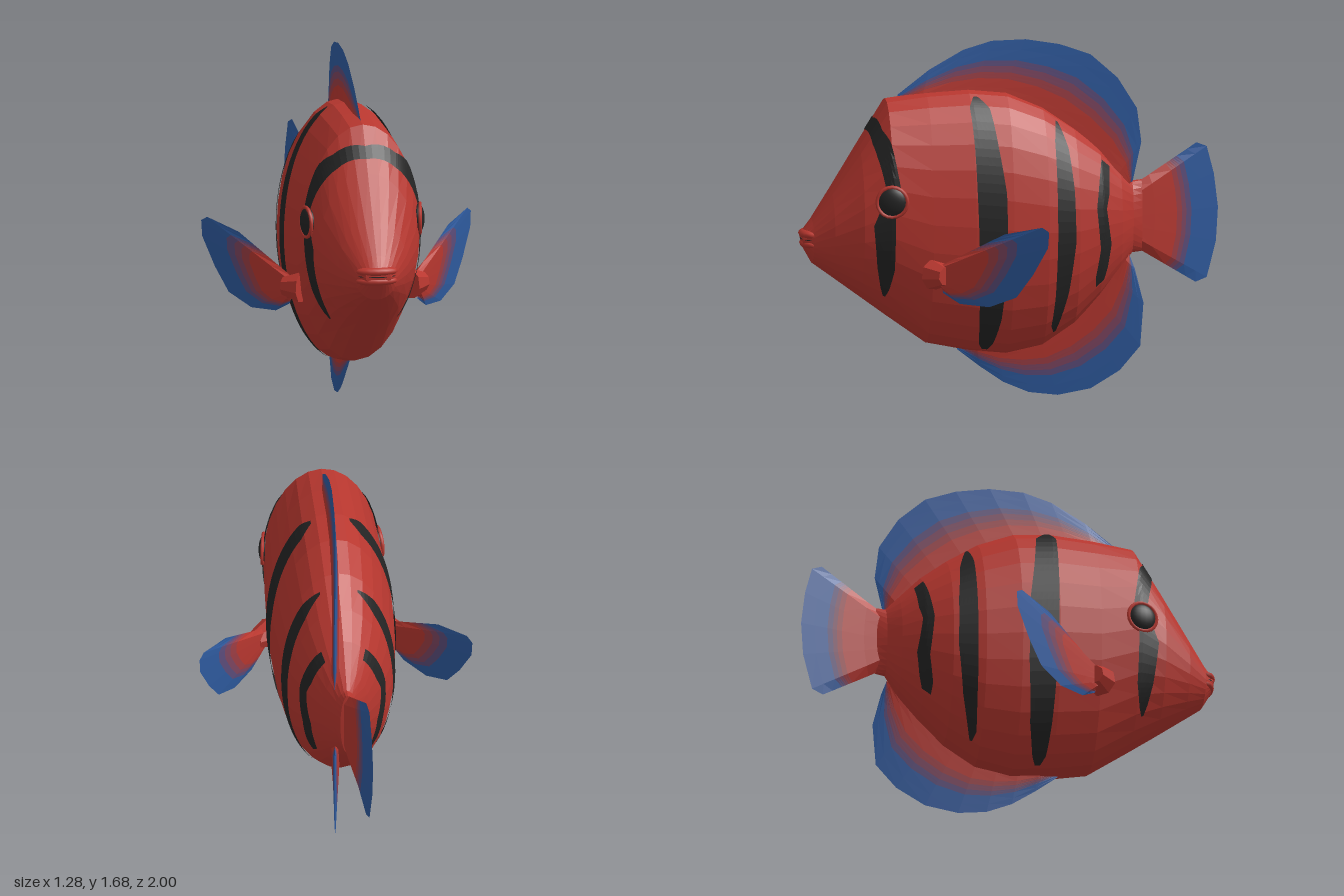
import * as THREE from 'three';

const mat = (name, color) => {
  const m = new THREE.MeshStandardMaterial({ color, side: THREE.DoubleSide });
  m.name = name;
  return m;
};

// Faceted surface from a rule f(i, j) -> [x, y, z]
function grid(nu, nv, f, flip = false) {
  const pos = [];
  for (let i = 0; i < nu; i++) for (let j = 0; j < nv; j++) {
    const a = f(i, j), b = f(i + 1, j), c = f(i + 1, j + 1), d = f(i, j + 1);
    pos.push(...(flip ? [a, d, c, a, c, b] : [a, b, c, a, c, d]).flat());
  }
  const g = new THREE.BufferGeometry();
  g.setAttribute('position', new THREE.Float32BufferAttribute(pos, 3));
  g.computeVertexNormals();
  return g;
}

// Body cross-sections: z, top, bottom, half width
const STATIONS = [
  [0.99, 0.765, 0.765, 0], [0.985, 0.8, 0.73, 0.06], [0.94, 0.86, 0.65, 0.1], [0.85, 1.0, 0.585, 0.165],
  [0.72, 1.21, 0.49, 0.235], [0.59, 1.42, 0.395, 0.272], [0.4, 1.445, 0.26, 0.285], [0.2, 1.457, 0.22, 0.295],
  [0.02, 1.44, 0.2, 0.29], [-0.15, 1.37, 0.235, 0.272], [-0.3, 1.27, 0.335, 0.238], [-0.42, 1.175, 0.46, 0.185],
  [-0.52, 1.07, 0.58, 0.115], [-0.58, 1.005, 0.665, 0.06], [-0.625, 1.01, 0.67, 0.035], [-0.63, 0.84, 0.84, 0],
];

function section(z) {
  let k = 0;
  while (k < STATIONS.length - 2 && STATIONS[k + 1][0] > z) k++;
  const a = STATIONS[k], b = STATIONS[k + 1], t = (a[0] - z) / (a[0] - b[0]);
  const [top, bottom, w] = [1, 2, 3].map(n => a[n] + (b[n] - a[n]) * t);
  return { top, bottom, c: (top + bottom) / 2, h: (top - bottom) / 2, w };
}

function bodyPoint(z, angle, lift = 0) {
  const s = section(z);
  return [(s.w + lift) * Math.sin(angle), s.c + (s.h + lift) * Math.cos(angle), z];
}

// Stripe rows: height, front z, back z
const STRIPES = {
  headStripe: [[1.4, 0.685, 0.65], [1.25, 0.67, 0.625], [1.2, 0.655, 0.595], [1.03, 0.62, 0.555],
    [0.87, 0.68, 0.58], [0.65, 0.66, 0.58], [0.55, 0.64, 0.6], [0.51, 0.625, 0.615]],
  middleStripe: [[1.425, 0.185, 0.165], [1.38, 0.21, 0.115], [1.2, 0.2, 0.085], [1.0, 0.195, 0.055],
    [0.7, 0.185, 0.05], [0.4, 0.175, 0.07], [0.27, 0.165, 0.1], [0.24, 0.145, 0.12]],
  backStripe: [[1.3, -0.205, -0.215], [1.2, -0.19, -0.255], [1.0, -0.19, -0.275], [0.75, -0.19, -0.28],
    [0.5, -0.185, -0.25], [0.36, -0.175, -0.215], [0.32, -0.19, -0.2]],
  tailStripe: [[1.1, -0.42, -0.46], [0.97, -0.395, -0.45], [0.9, -0.385, -0.435], [0.72, -0.405, -0.46],
    [0.6, -0.385, -0.445], [0.545, -0.39, -0.43]],
};

function stripeGeometry(rows, side) {
  const SUB = 5, COLS = 5;
  const keys = rows.map(([y, z1, z2]) => {
    const s = section((z1 + z2) / 2);
    return [Math.acos(THREE.MathUtils.clamp((y - s.c) / s.h, -1, 1)), z1, z2];
  });
  return grid((rows.length - 1) * SUB, COLS, (i, j) => {
    const k = Math.min(Math.floor(i / SUB), rows.length - 2), t = i / SUB - k;
    const [angle, z1, z2] = keys[k].map((v, n) => v + (keys[k + 1][n] - v) * t);
    const [x, y, z] = bodyPoint(z1 + (z2 - z1) * j / COLS, angle, 0.006);
    return [x * side, y, z];
  }, side < 0);
}

export function createModel() {
  const model = new THREE.Group();
  model.name = 'fish';
  const red = mat('red', 0xb8372f), black = mat('black', 0x242424);
  const finMats = [red, mat('dull red', 0x9c3d44), mat('plum', 0x7d4560), mat('violet', 0x5c4c7a), mat('blue', 0x2e5a9e)];

  const add = (name, geo, material, parent = model) => {
    const m = new THREE.Mesh(geo, material);
    m.name = name;
    parent.add(m);
    return m;
  };

  // Lens-shaped fin between a root line and an outer line, coloured in bands
  function addFin(name, root, outer, levels, normal, thick, bend = p => p, side = 1) {
    const group = new THREE.Group();
    group.name = name;
    const n = root.length - 1;
    const point = (i, t, face) => {
      const edge = i === 0 || i === n ? 0 : 1;
      const half = face * edge * thick * (1 - t);
      const p = bend(root[i].map((v, k) => v + (outer[i][k] - v) * t));
      return p.map((v, k) => (v + normal[k] * half) * (k === 0 ? side : 1));
    };
    finMats.forEach((m, b) => {
      for (const face of [1, -1]) {
        const step = (levels[b + 1] - levels[b]) / 2;
        add(`${name}Band${b + 1}`, grid(n, 2, (i, j) => point(i, levels[b] + step * j, face), face * side < 0), m, group);
      }
    });
    model.add(group);
  }

  // Body
  const SEG = 28;
  add('body', grid(STATIONS.length - 1, SEG, (i, j) => {
    const [z, top, bottom, w] = STATIONS[i], a = j / SEG * Math.PI * 2;
    return [w * Math.sin(a), (top + bottom) / 2 + (top - bottom) / 2 * Math.cos(a), z];
  }, true), red);

  // Mouth
  for (const [name, y, z] of [['upperLip', 0.788, 0.95], ['lowerLip', 0.742, 0.945]]) {
    const lip = add(name, new THREE.SphereGeometry(1, 16, 8), red);
    lip.scale.set(0.1, 0.026, 0.05);
    lip.position.set(0, y, z);
  }
  const slit = add('mouthSlit', new THREE.SphereGeometry(1, 16, 6), black);
  slit.scale.set(0.09, 0.01, 0.043);
  slit.position.set(0, 0.765, 0.95);

  // Dorsal and anal fins, curving sideways toward the back
  const sway = ([x, y, z]) => [x + 0.06 * (Math.max(0, 0.2 - z) / 0.8) ** 2, y, z];
  const yz = list => list.map(([z, y]) => [0, y, z]);
  const levels = [0, 0.32, 0.43, 0.54, 0.64, 1];
  addFin('dorsalFin',
    [0.53, 0.42, 0.3, 0.18, 0.05, -0.08, -0.2, -0.32, -0.43, -0.51, -0.56].map(z => [0, section(z).top - 0.03, z]),
    yz([[0.53, 1.435], [0.38, 1.55], [0.22, 1.64], [0.085, 1.68], [-0.075, 1.685], [-0.235, 1.66],
      [-0.38, 1.61], [-0.505, 1.5], [-0.595, 1.355], [-0.615, 1.195], [-0.575, 1.01]]),
    levels, [1, 0, 0], 0.018, sway);
  addFin('analFin',
    [0.25, 0.16, 0.06, -0.04, -0.14, -0.24, -0.33, -0.41, -0.48, -0.54, -0.56]
      .map(z => [0, section(z).bottom + 0.03, z]).reverse(),
    yz([[0.25, 0.225], [0.14, 0.14], [0.03, 0.065], [-0.09, 0.015], [-0.225, 0], [-0.38, 0.03],
      [-0.515, 0.115], [-0.61, 0.23], [-0.625, 0.435], [-0.585, 0.595], [-0.56, 0.66]]).reverse(),
    levels, [1, 0, 0], 0.018, sway);

  // Tail fin
  const tailOuter = yz([[-0.895, 1.17], [-0.945, 1.15], [-0.98, 1.02], [-1, 0.86], [-0.99, 0.7], [-0.945, 0.53], [-0.89, 0.51]]);
  addFin('tailFin', tailOuter.map((p, i) => [0, 0.98 - 0.28 * i / 6, -0.58]), tailOuter,
    [0, 0.52, 0.58, 0.63, 0.69, 1], [1, 0, 0], 0.03,
    ([x, y, z]) => [x - 0.08 * Math.max(0, -0.6 - z) / 0.4, y, z]);

  // Paired parts
  const pecOuter = [[0.1, 0.835], [-0.06, 0.88], [-0.09, 0.86], [-0.085, 0.785], [-0.02, 0.65],
    [0.05, 0.54], [0.165, 0.485], [0.29, 0.49], [0.36, 0.535]];
  const onPec = (z, y) => [0.29 + (0.38 - z) * 0.75, y, z];
  for (const [side, label] of [[1, 'left'], [-1, 'right']]) {
    for (const [name, rows] of Object.entries(STRIPES)) add(`${label} ${name}`, stripeGeometry(rows, side), black);

    const eye = new THREE.Group();
    eye.name = `${label} eye`;
    eye.position.set(side * 0.262, 0.965, 0.595);
    eye.rotation.y = side * (Math.PI / 2 - 0.18);
    add('eyeball', new THREE.SphereGeometry(0.07, 18, 12), black, eye).scale.z = 0.45;
    add('eyeRim', new THREE.TorusGeometry(0.071, 0.009, 6, 20), red, eye).position.z = 0.01;
    model.add(eye);

    const base = add(`${label} pectoralBase`, new THREE.CylinderGeometry(0.045, 0.075, 0.09, 8).toNonIndexed(), red);
    base.geometry.computeVertexNormals();
    base.position.set(side * 0.295, 0.618, 0.375);
    base.quaternion.setFromUnitVectors(new THREE.Vector3(0, 1, 0), new THREE.Vector3(side * 0.85, 0, -0.53).normalize());

    addFin(`${label} pectoralFin`, pecOuter.map((p, i) => onPec(0.37, 0.665 - 0.1 * i / 8)),
      pecOuter.map(([z, y]) => onPec(z, y)), [0, 0.45, 0.54, 0.62, 0.71, 1], [0.8, 0, 0.6], 0.02, p => p, side);
  }
  return model;
}
